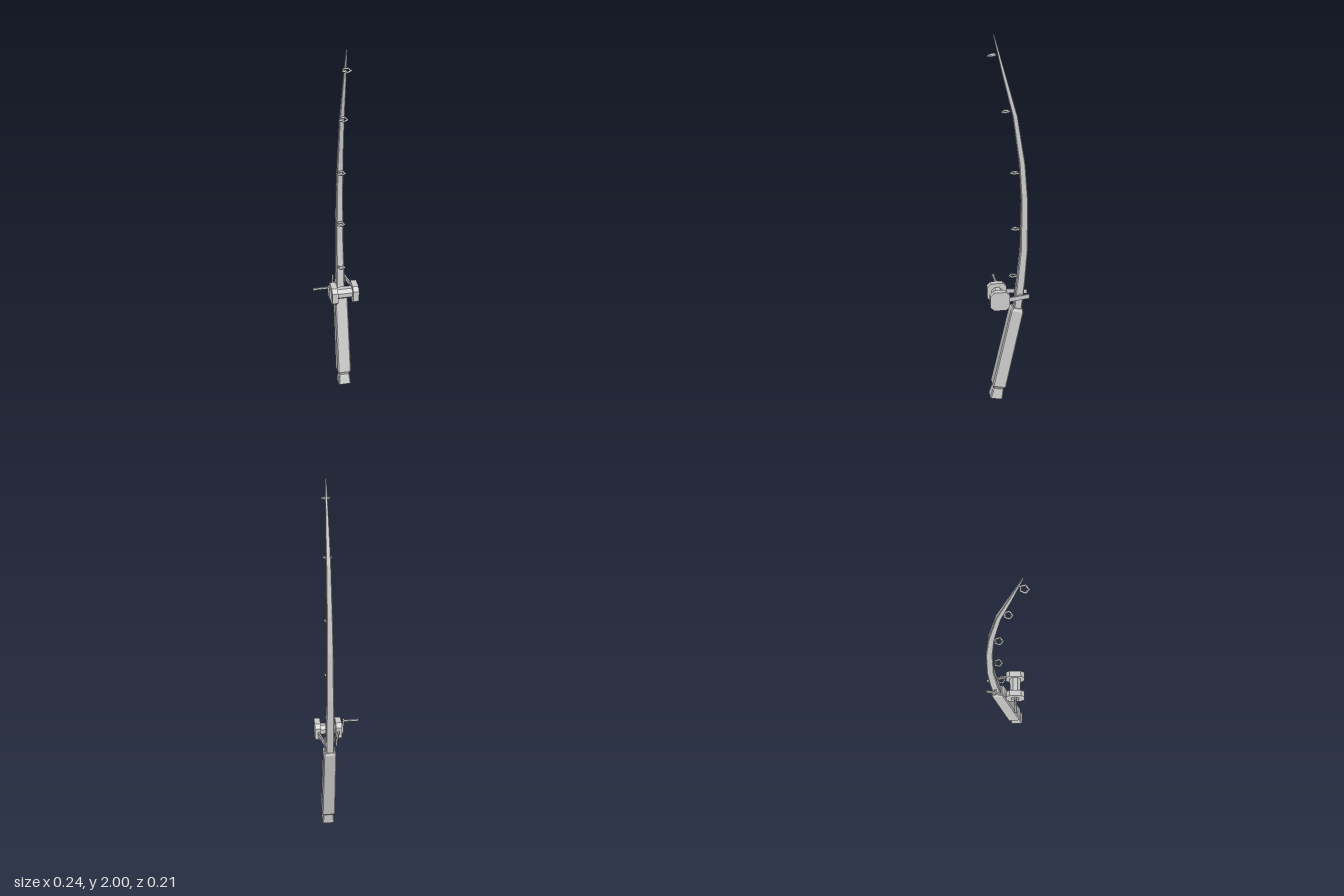
import * as THREE from 'three';

const material = new THREE.MeshStandardMaterial({ color: 0xcccccc, flatShading: true, side: THREE.DoubleSide });
const CX = 0.047; // the rod stands slightly to the left, balancing the crank

function add(parent, name, geometry, x = 0, y = 0, z = 0) {
  const mesh = new THREE.Mesh(geometry, material);
  mesh.name = name;
  mesh.position.set(x, y, z);
  parent.add(mesh);
  return mesh;
}

// Square section with chamfered corners, lofted through stations [y, z, width]
function loft(stations, chamfer) {
  const corners = [];
  const k = 0.5 - chamfer;
  for (const [sx, sz] of [[1, -1], [-1, -1], [-1, 1], [1, 1]]) {
    const pair = [[0.5 * sx, k * sz], [k * sx, 0.5 * sz]];
    corners.push(...(sx * sz < 0 ? pair : pair.reverse()));
  }
  const n = corners.length;
  const positions = [];
  const index = [];
  for (const [y, z, w] of stations) {
    for (const [cx, cz] of corners) positions.push(cx * w, y, z + cz * w);
  }
  for (let s = 0; s < stations.length - 1; s++) {
    for (let i = 0; i < n; i++) {
      const a = s * n + i;
      const b = s * n + (i + 1) % n;
      index.push(a, b, b + n, a, b + n, a + n);
    }
  }
  const top = (stations.length - 1) * n;
  for (let i = 1; i < n - 1; i++) {
    index.push(0, i + 1, i, top, top + i, top + i + 1);
  }
  const geometry = new THREE.BufferGeometry();
  geometry.setAttribute('position', new THREE.Float32BufferAttribute(positions, 3));
  geometry.setIndex(index);
  const flat = geometry.toNonIndexed();
  flat.computeVertexNormals();
  return flat;
}

export function createModel() {
  const model = new THREE.Group();
  model.name = 'fishingRod';

  // Curved, tapering blank
  add(model, 'rodBlank', loft([
    [0.53, -0.047, 0.045], [0.7, -0.065, 0.045], [0.88, -0.081, 0.04], [1.15, -0.083, 0.036],
    [1.35, -0.07, 0.031], [1.6, -0.033, 0.025], [1.8, 0.02, 0.017], [2, 0.071, 0.006],
  ], 0.12), CX);

  // Tilted grip with a butt cap
  const handle = new THREE.Group();
  handle.name = 'handle';
  handle.position.set(CX, 0.008, 0.071);
  handle.rotation.x = -0.214;
  model.add(handle);
  add(handle, 'buttCap', loft([[0, 0, 0.07], [0.054, 0, 0.06], [0.06, 0, 0.052]], 0.08));
  add(handle, 'grip', loft([
    [0.055, 0, 0.052], [0.064, 0, 0.058], [0.078, 0, 0.077], [0.54, 0, 0.07], [0.556, 0, 0.056],
  ], 0.08));

  // Five-sided line guides pointing forward: [y, z, tilt]
  for (const [y, z, tilt] of [
    [0.735, -0.025, 0], [1.0, -0.038, 0], [1.305, -0.033, 0], [1.624, 0.012, 0.1], [1.903, 0.08, 0.15],
  ]) {
    const ring = new THREE.TorusGeometry(0.02, 0.006, 4, 5);
    ring.rotateZ(-Math.PI / 2);
    ring.rotateX(-Math.PI / 2 + tilt);
    add(model, 'lineGuide', ring, CX, y, z);
  }

  // Reel: spool between two chamfered side plates
  const reel = new THREE.Group();
  reel.name = 'reel';
  reel.position.set(CX, 0.623, 0.054);
  model.add(reel);
  const spool = new THREE.CylinderGeometry(0.033, 0.033, 0.09, 8);
  spool.rotateY(Math.PI / 8);
  spool.rotateZ(Math.PI / 2);
  add(reel, 'spool', spool);
  for (const side of [-1, 1]) {
    const plate = loft([[-0.016, 0, 0.104], [0.016, 0, 0.104]], 0.2);
    plate.rotateZ(Math.PI / 2);
    add(reel, 'sidePlate', plate, side * 0.057);

    // Bars that converge from the plates to clasp the blank
    const start = new THREE.Vector3(side * 0.057, 0, -0.04);
    const end = new THREE.Vector3(side * 0.03, 0, -0.162);
    const bar = add(reel, 'mountBar', new THREE.BoxGeometry(0.008, 0.024, start.distanceTo(end)));
    bar.position.copy(start).add(end).multiplyScalar(0.5);
    bar.rotation.y = Math.atan2(start.x - end.x, start.z - end.z);
  }
  add(reel, 'mountCrossBar', new THREE.BoxGeometry(0.06, 0.022, 0.014), 0, 0, -0.112);

  // Crank on the right plate
  add(reel, 'crankHub', new THREE.BoxGeometry(0.012, 0.042, 0.04), -0.078, 0, 0);
  add(reel, 'crankArm', new THREE.BoxGeometry(0.008, 0.058, 0.018), -0.086, 0.022, 0.001);
  const shaft = new THREE.CylinderGeometry(0.007, 0.007, 0.078, 6);
  shaft.rotateZ(Math.PI / 2);
  add(reel, 'crankShaft', shaft, -0.126, 0.043, 0.001);
  const knob = new THREE.CylinderGeometry(0.011, 0.011, 0.006, 6);
  knob.rotateZ(Math.PI / 2);
  add(reel, 'crankKnob', knob, -0.166, 0.043, 0.001);

  return model;
}
